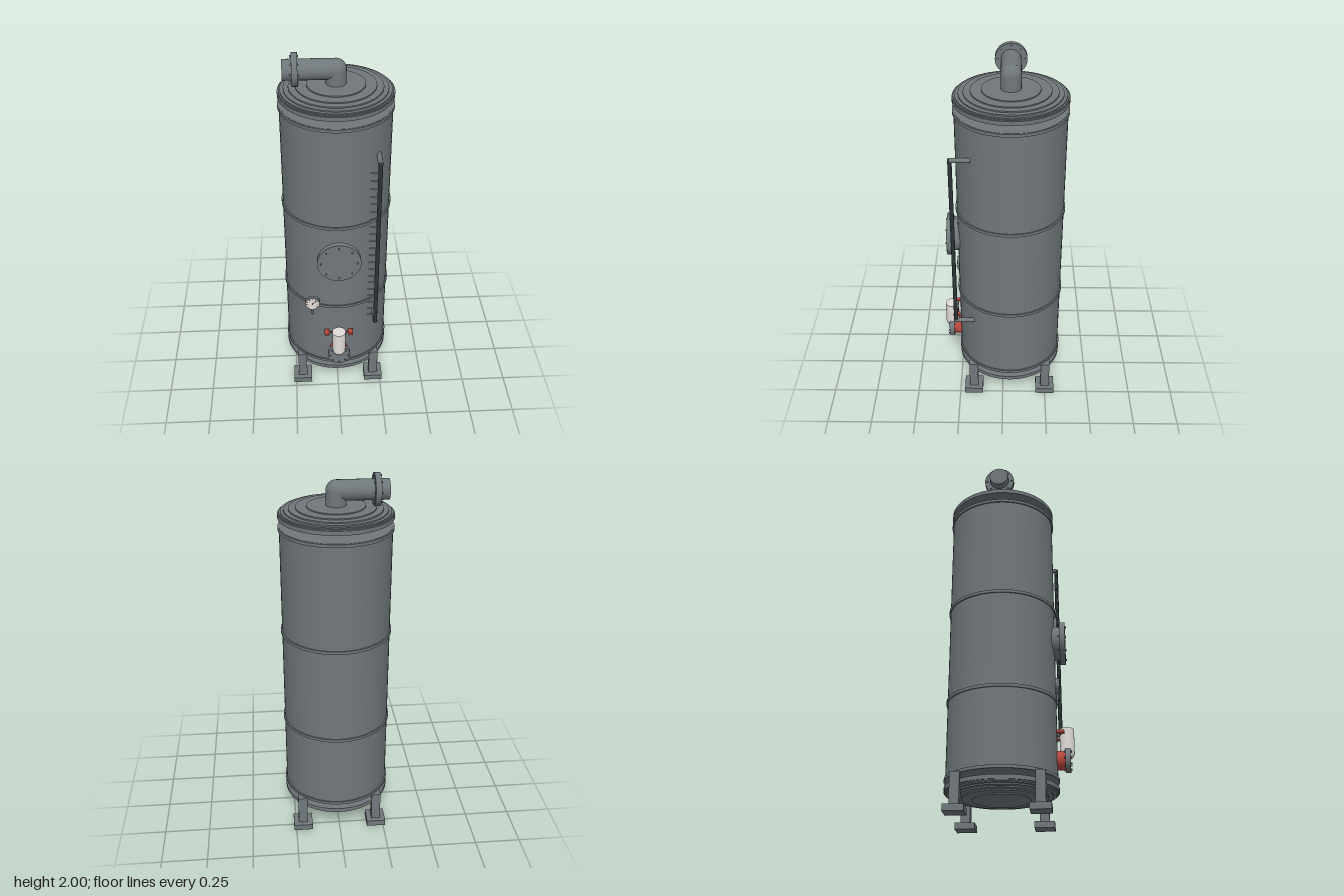
import * as THREE from 'three';

const mat = (name, color) => new THREE.MeshStandardMaterial({ name, color });

export function createModel() {
  const steel = mat('steel grey', 0x70777b);
  const dark = mat('dark glass', 0x2b3436);
  const red = mat('valve red', 0xb8483c);
  const white = mat('off white', 0xe2deda);
  const pale = mat('scale grey', 0x9a9fa2);

  const model = new THREE.Group();
  const CZ = -0.04; // tank axis

  const add = (name, geo, material, x = 0, y = 0, z = 0, parent = model) => {
    const m = new THREE.Mesh(geo, material);
    m.name = name;
    m.position.set(x, y, z);
    parent.add(m);
    return m;
  };
  const cylY = (r, h, n = 32) => new THREE.CylinderGeometry(r, r, h, n);
  const cylZ = (r, h, n = 32) => cylY(r, h, n).rotateX(Math.PI / 2);
  const cylX = (r, h, n = 32) => cylY(r, h, n).rotateZ(Math.PI / 2);
  const box = (w, h, d) => new THREE.BoxGeometry(w, h, d);

  // Ring of bolts in the local xy plane, facing local z
  const boltRing = (name, count, radius, boltR, length) => {
    const g = new THREE.Group();
    g.name = name;
    const geo = cylZ(boltR, length, 6);
    for (let i = 0; i < count; i++) {
      const a = (i / count) * Math.PI * 2;
      add('bolt', geo, steel, Math.sin(a) * radius, Math.cos(a) * radius, 0, g);
    }
    model.add(g);
    return g;
  };

  // Tank shell and its hoops
  add('tankShell', cylY(0.29, 1.545, 64), steel, 0, 0.967, CZ);
  for (const y of [0.203, 0.622, 1.156, 1.73]) {
    add('tankHoop', cylY(0.297, 0.016, 64), steel, 0, y, CZ);
  }

  // Stepped end lids, the lower one turned over
  const steps = [
    [0.296, 0.022], [0.29, 0.028], [0.282, 0.034], [0.265, 0.041],
    [0.24, 0.048], [0.205, 0.054], [0.15, 0.06],
  ];
  for (const top of [true, false]) {
    const lid = new THREE.Group();
    lid.name = top ? 'topLid' : 'bottomLid';
    let base = 0;
    for (const [r, h] of steps) {
      add('lidStep', cylY(r, h - base, 64), steel, 0, (base + h) / 2, 0, lid);
      base = h;
    }
    lid.position.set(0, top ? 1.783 : 0.164, CZ);
    if (!top) lid.rotation.x = Math.PI;
    model.add(lid);
  }

  // Four legs with feet
  for (const sx of [-1, 1]) {
    for (const sz of [-1, 1]) {
      add('foot', box(0.106, 0.034, 0.106), steel, sx * 0.21, 0.017, CZ + sz * 0.21);
      add('leg', box(0.05, 0.168, 0.05), steel, sx * 0.21, 0.116, CZ + sz * 0.21);
    }
  }

  // Outlet pipe on top
  const PY = 1.917;
  add('outletRiser', cylY(0.053, PY - 1.835, 24), steel, 0, (PY + 1.835) / 2, CZ);
  add('outletElbow', new THREE.SphereGeometry(0.053, 24, 16), steel, 0, PY, CZ);
  add('outletPipe', cylX(0.053, 0.267, 24), steel, -0.1335, PY, CZ);
  add('outletFlange', cylX(0.084, 0.03, 32), steel, -0.205, PY, CZ);
  const outletBolts = boltRing('outletBolts', 8, 0.07, 0.006, 0.042);
  outletBolts.rotation.y = Math.PI / 2;
  outletBolts.position.set(-0.206, PY, CZ);

  // Manhole
  add('manholeNeck', cylZ(0.093, 0.1, 40), steel, 0, 0.97, 0.23);
  add('manholeCover', cylZ(0.117, 0.03, 48), steel, 0, 0.97, 0.292);
  boltRing('manholeBolts', 8, 0.097, 0.005, 0.046).position.set(0, 0.97, 0.29);

  // Drain valve with upturned spout
  add('valveNeck', cylZ(0.05, 0.06, 24), red, 0, 0.308, 0.26);
  add('valveFlange', cylZ(0.064, 0.027, 32), steel, 0, 0.308, 0.303);
  boltRing('valveBolts', 8, 0.052, 0.005, 0.04).position.set(0, 0.308, 0.303);
  add('spoutElbow', new THREE.SphereGeometry(0.038, 20, 14), white, 0, 0.347, 0.3);
  add('spout', cylY(0.038, 0.128, 20), white, 0, 0.411, 0.3);
  add('valveHandle', cylX(0.005, 0.15, 10), red, 0, 0.443, 0.268);
  for (const s of [-1, 1]) {
    add('handleGrip', box(0.026, 0.013, 0.04), red, s * 0.067, 0.443, 0.268);
  }

  // Pressure gauge
  const gauge = new THREE.Group();
  gauge.name = 'pressureGauge';
  gauge.position.set(-0.145, 0.662, 0.259);
  model.add(gauge);
  add('gaugeCase', cylZ(0.042, 0.018, 32), steel, 0, 0, 0, gauge);
  add('gaugeFace', cylZ(0.037, 0.004, 32), white, 0, 0, 0.009, gauge);
  for (let i = 0; i < 9; i++) {
    const a = -2.3 + (i / 8) * 4.6;
    const tick = add('gaugeTick', box(0.003, 0.007, 0.002), dark,
      Math.sin(a) * 0.03, Math.cos(a) * 0.03, 0.0115, gauge);
    tick.rotation.z = -a;
  }
  const needle = add('gaugeNeedle', box(0.003, 0.032, 0.002), red, 0.008, 0.007, 0.0125, gauge);
  needle.rotation.z = -0.85;
  add('gaugeHub', cylZ(0.004, 0.004, 10), dark, 0, 0, 0.0125, gauge);
  add('gaugeStem', cylY(0.006, 0.042, 10), steel, 0, -0.06, 0, gauge);

  // Level sight glass with brackets and scale
  const GX = 0.205, GZ = 0.264;
  add('sightGlass', cylY(0.011, 1.03, 12), dark, GX, 1.03, GZ);
  for (const y of [0.517, 1.547]) {
    add('sightBracket', cylZ(0.013, 0.105, 14), steel, GX, y, 0.213);
    add('sightCorner', new THREE.SphereGeometry(0.0125, 12, 8), dark, GX, y, GZ);
  }
  for (let i = 0; i < 21; i++) {
    add('scaleMark', box(0.038, 0.004, 0.007), pale, 0.177, 0.57 + i * 0.0465, 0.267);
  }

  return model;
}
